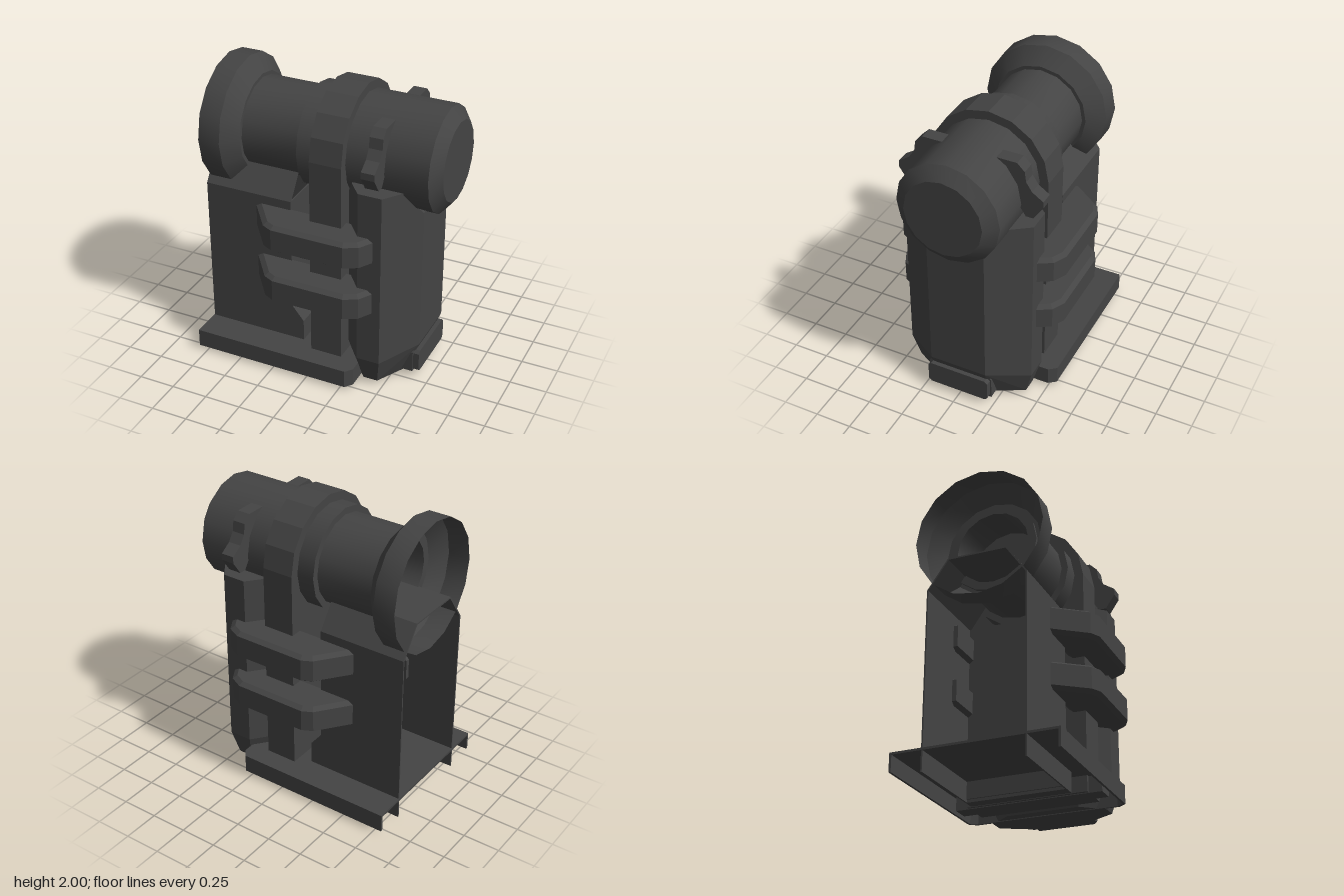
import * as THREE from 'three';
import { toCreasedNormals } from 'three/addons/utils/BufferGeometryUtils.js';
import { ConvexGeometry } from 'three/addons/geometries/ConvexGeometry.js';

const AXIS_Y = 1.56; // height of the barrel axis

export function createModel() {
  const model = new THREE.Group();
  const material = new THREE.MeshStandardMaterial({ color: 0x444444, side: THREE.DoubleSide });

  const add = (name, geometry, x = 0, y = 0, z = 0) => {
    const mesh = new THREE.Mesh(geometry, material);
    mesh.name = name;
    mesh.position.set(x, y, z);
    model.add(mesh);
    return mesh;
  };
  const toShape = (points) => new THREE.Shape(points.map(([a, b]) => new THREE.Vector2(a, b)));
  const box = (name, x0, x1, y0, y1, z0, z1) =>
    add(name, new THREE.BoxGeometry(x1 - x0, y1 - y0, z1 - z0), (x0 + x1) / 2, (y0 + y1) / 2, (z0 + z1) / 2);

  // Section given as [z, y], pushed along x
  const extrudeX = (name, points, x0, x1) => {
    const shape = toShape(points.map(([z, y]) => [-z, y]));
    const geometry = new THREE.ExtrudeGeometry(shape, { depth: x1 - x0, bevelEnabled: false });
    return add(name, geometry.rotateY(Math.PI / 2), x0);
  };
  // Plan given as [x, z], pushed along y, with optional chamfer
  const extrudeY = (name, points, y0, y1, chamfer = 0) => {
    const geometry = new THREE.ExtrudeGeometry(toShape(points), {
      depth: y1 - y0 - 2 * chamfer, bevelEnabled: chamfer > 0, bevelSegments: 1,
      bevelThickness: chamfer, bevelSize: chamfer * 1.4, bevelOffset: -chamfer * 1.4,
    });
    return add(name, geometry.rotateX(Math.PI / 2), 0, y1 - chamfer);
  };
  // Profile given as [x, radius], turned about the barrel axis
  const turned = (name, profile) => {
    const lathe = new THREE.LatheGeometry(profile.map(([x, r]) => new THREE.Vector2(r, x)), 16);
    return add(name, toCreasedNormals(lathe.rotateZ(-Math.PI / 2), 0.5), 0, AXIS_Y);
  };

  // Barrel with a closed chamfered end and an open bore
  turned('barrel', [
    [-0.3, 0], [-0.3, 0.25], [-0.57, 0.25], [-0.57, 0.305], [-0.14, 0.305],
    [-0.14, 0.35], [0.745, 0.35], [0.81, 0.265], [0.81, 0],
  ]);
  // Flared hood around the open end
  turned('hood', [[-0.55, 0.3], [-0.55, 0.33], [-0.64, 0.44], [-0.79, 0.44]]);

  // Strap that runs over the barrel and down as a column
  const strap = [[0.41, 0.03]];
  for (let i = 0; i <= 8; i++) {
    const a = (i * Math.PI) / 8;
    strap.push([0.41 * Math.cos(a), AXIS_Y + 0.41 * Math.sin(a)]);
  }
  strap.push([-0.41, 0.03]);
  extrudeX('strapColumn', strap, -0.02, 0.2);

  // Faceted end housing
  const levels = [
    [0.03, [[0.24, 0.25], [0.36, 0.4], [0.46, 0.4], [0.58, 0.18]]],
    [0.21, [[0.2, 0.29], [0.33, 0.45], [0.49, 0.45]]],
    [0.26, [[0.67, 0.2]]],
    [1.26, [[0.67, 0.2]]],
    [1.36, [[0.2, 0.29]]],
    [1.44, [[0.24, 0.34], [0.33, 0.45], [0.49, 0.45], [0.58, 0.325]]],
  ];
  const corners = [];
  for (const [y, plan] of levels)
    for (const [x, z] of plan)
      corners.push(new THREE.Vector3(x, y, z), new THREE.Vector3(x, y, -z));
  add('endHousing', new ConvexGeometry(corners));

  // Foot block below the end housing
  extrudeX('footBlockBack', [[-0.23, 0.05], [-0.23, 0.2], [-0.18, 0.26], [0.18, 0.26], [0.23, 0.2], [0.23, 0.05]], 0.5, 0.64);
  extrudeX('footBlockFront', [
    [-0.2, 0.05], [-0.22, 0.07], [-0.22, 0.19], [-0.2, 0.21],
    [0.2, 0.21], [0.22, 0.19], [0.22, 0.07], [0.2, 0.05],
  ], 0.58, 0.68);

  // Hollow box housing, open at its outer end
  extrudeX('boxHousing', [
    [-0.34, 0], [-0.34, 1.2], [-0.2, 1.4], [0.2, 1.4], [0.34, 1.2], [0.34, 0],
    [0.33, 0], [0.33, 1.197], [0.195, 1.39], [-0.195, 1.39], [-0.33, 1.197], [-0.33, 0],
  ], -0.805, -0.19);
  box('boxHousingWall', -0.2, -0.19, 0.02, 1.2, -0.335, 0.335);
  const step = new THREE.ExtrudeGeometry(
    toShape([[-0.19, 0], [-0.11, 0], [-0.11, 0.3], [-0.19, 0.4]]), { depth: 0.68, bevelEnabled: false });
  add('boxHousingStep', step, 0, 0, -0.34);

  // Base tray, open below and at its outer end
  extrudeY('baseTop', [
    [-0.81, -0.55], [0.29, -0.55], [0.33, -0.5], [0.33, 0.5], [0.29, 0.55], [-0.81, 0.55],
  ], 0.135, 0.15);
  box('baseEndWall', 0.315, 0.33, 0.025, 0.14, -0.5, 0.5);
  box('baseCrossBar', 0.0, 0.12, 0.025, 0.14, -0.5, 0.5);

  for (const s of [1, -1]) {
    // Base rims with a cut corner
    extrudeY('baseRim', [
      [-0.81, 0.55 * s], [0.29, 0.55 * s], [0.33, 0.5 * s], [0.315, 0.49 * s], [0.285, 0.535 * s], [-0.81, 0.535 * s],
    ], 0.025, 0.15);

    // Side clamps joining the two housings
    for (const y of [0.57, 0.95]) {
      extrudeY('sideClamp', [
        [-0.44, 0.3], [-0.44, 0.34], [-0.28, 0.55], [-0.21, 0.585],
        [0.29, 0.585], [0.38, 0.54], [0.44, 0.44], [0.44, 0.3],
      ].map(([x, z]) => [x, z * s]), y, y + 0.19, 0.022);
    }

    // Hooked lugs on the barrel
    extrudeX('barrelLug', [
      [0.18, 1.85], [0.32, 1.85], [0.37, 1.8], [0.38, 1.73], [0.42, 1.67], [0.495, 1.62],
      [0.495, 1.575], [0.43, 1.48], [0.38, 1.48], [0.3, 1.6], [0.25, 1.75],
    ].map(([z, y]) => [z * s, y]), 0.37, 0.46);
  }
  return model;
}
